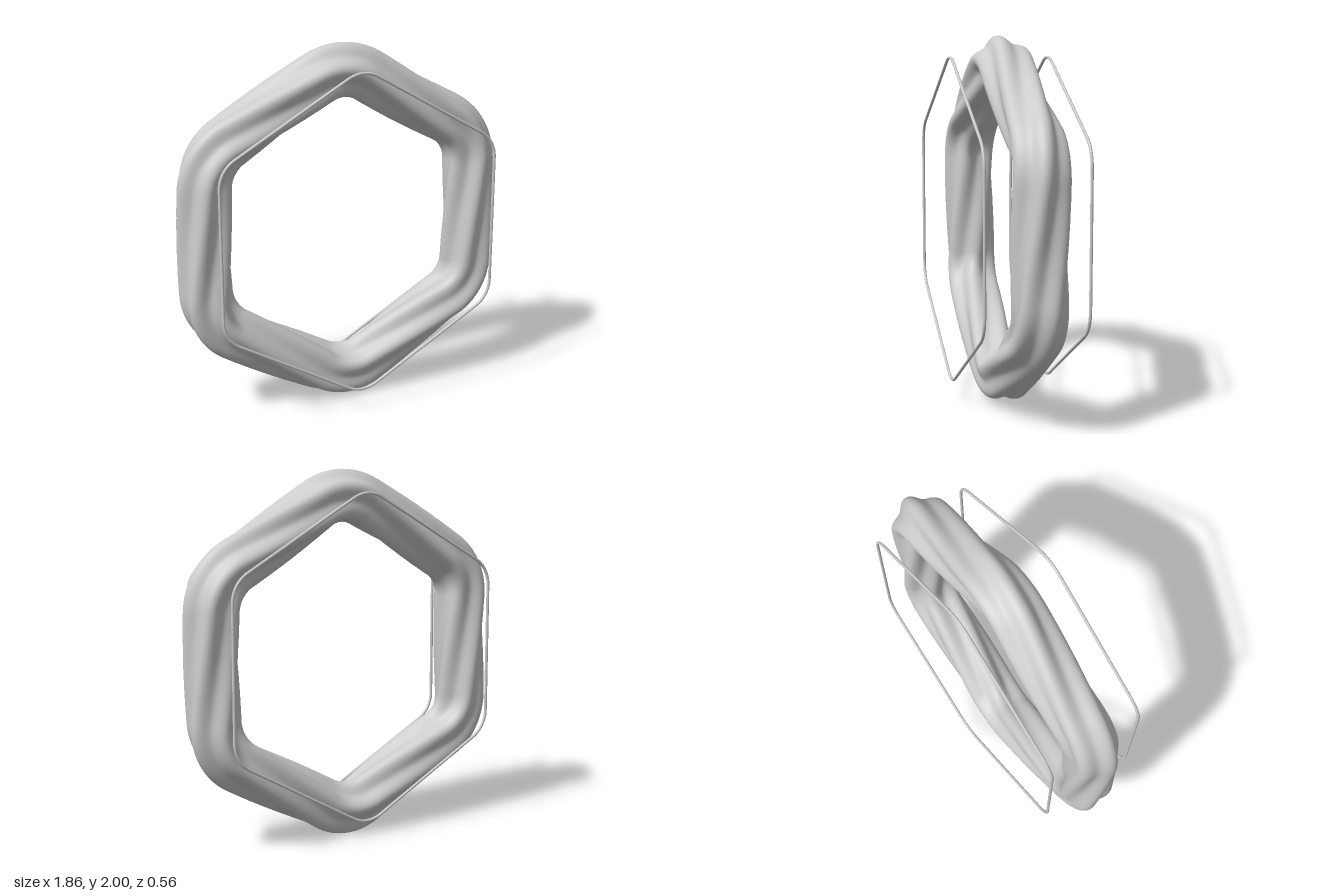
import * as THREE from 'three';

const RAD = Math.PI / 180;
const ARC_STEPS = 14, SIDE_STEPS = 22;

// Samples of a rounded hexagon (point up): position and outward normal, counter-clockwise.
function roundedHexagon(apothem, fillet) {
  const centreDist = (apothem - fillet) / Math.cos(30 * RAD);
  const at = (corner, normalAngle) => {
    const nx = Math.cos(normalAngle * RAD), ny = Math.sin(normalAngle * RAD);
    return {
      x: centreDist * Math.cos(corner * RAD) + fillet * nx,
      y: centreDist * Math.sin(corner * RAD) + fillet * ny,
      nx, ny,
    };
  };
  const samples = [];
  for (let k = 0; k < 6; k++) {
    const corner = 90 + 60 * k;
    for (let i = 0; i < ARC_STEPS; i++) {
      samples.push(at(corner, corner - 30 + (60 * i) / ARC_STEPS));
    }
    const a = at(corner, corner + 30), b = at(corner + 60, corner + 30);
    for (let i = 0; i < SIDE_STEPS; i++) {
      const t = i / SIDE_STEPS;
      samples.push({ ...a, x: a.x + (b.x - a.x) * t, y: a.y + (b.y - a.y) * t });
    }
  }
  return samples;
}

// Closed tube along the samples; radiusAt(section angle, angle around the ring).
function sweep(samples, sides, radiusAt) {
  const positions = [], index = [];
  const n = samples.length;
  samples.forEach((s, i) => {
    const phi = Math.atan2(s.y, s.x);
    for (let j = 0; j < sides; j++) {
      const a = (j / sides) * Math.PI * 2;
      const r = radiusAt(a, phi);
      const out = r * Math.cos(a);
      positions.push(s.x + s.nx * out, s.y + s.ny * out, r * Math.sin(a));
      const i2 = (i + 1) % n, j2 = (j + 1) % sides;
      const p = i * sides + j, q = i2 * sides + j, u = i2 * sides + j2, v = i * sides + j2;
      index.push(p, q, u, p, u, v);
    }
  });
  const geometry = new THREE.BufferGeometry();
  geometry.setAttribute('position', new THREE.Float32BufferAttribute(positions, 3));
  geometry.setIndex(index);
  geometry.computeVertexNormals();
  return geometry;
}

export function createModel() {
  const group = new THREE.Group();
  group.name = 'twistedHexagonRing';
  const material = new THREE.MeshStandardMaterial({ color: 0xcccccc });

  const add = (name, geometry, y, z) => {
    const mesh = new THREE.Mesh(geometry, material);
    mesh.name = name;
    mesh.position.set(0, y, z);
    group.add(mesh);
  };

  // Thick ring: five soft lobes that make one full turn around the hexagon
  const lobes = (a, phi) => 0.133 + 0.016 * Math.cos(5 * (a + phi - 100 * RAD));
  add('twistedRing', sweep(roundedHexagon(0.782, 0.28), 80, lobes), 0.996, -0.012);

  // Thin wire hexagons floating in front and behind
  const wire = sweep(roundedHexagon(0.785, 0.17), 12, () => 0.008);
  add('frontWire', wire, 1.005, 0.27);
  add('backWire', wire, 1.005, -0.27);

  return group;
}
